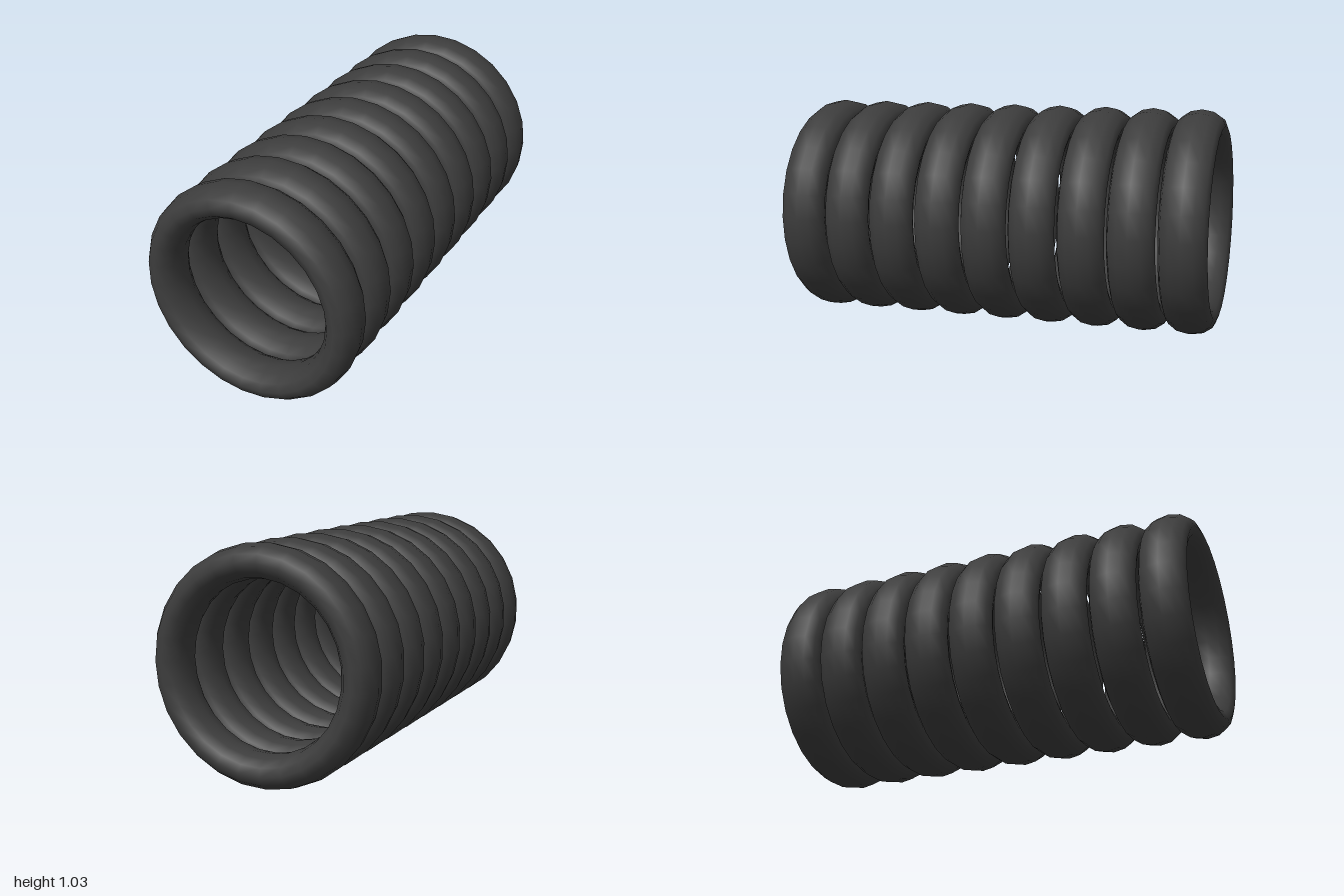
import * as THREE from 'three';

const RING_COUNT = 9;
const RING_RADIUS = 0.4425; // centre line of each ring
const TUBE_RADIUS = 0.0745; // radial half thickness
const HALF_WIDTH = 0.107;   // half width along z

export function createModel() {
  const group = new THREE.Group();
  group.name = 'ringStack';
  const material = new THREE.MeshStandardMaterial({ color: 0x3c3c3c });

  // One ring with an oval section, wider along the stack than it is thick
  const geometry = new THREE.TorusGeometry(RING_RADIUS, TUBE_RADIUS, 12, 27);
  geometry.scale(1, 1, HALF_WIDTH / TUBE_RADIUS);

  // Evenly spaced rings from back to front
  const end = 1 - HALF_WIDTH;
  for (let i = 0; i < RING_COUNT; i++) {
    const ring = new THREE.Mesh(geometry, material);
    ring.name = `ring${i + 1}`;
    ring.position.set(-0.002, 0.517, -end + (2 * end * i) / (RING_COUNT - 1));
    group.add(ring);
  }
  return group;
}
